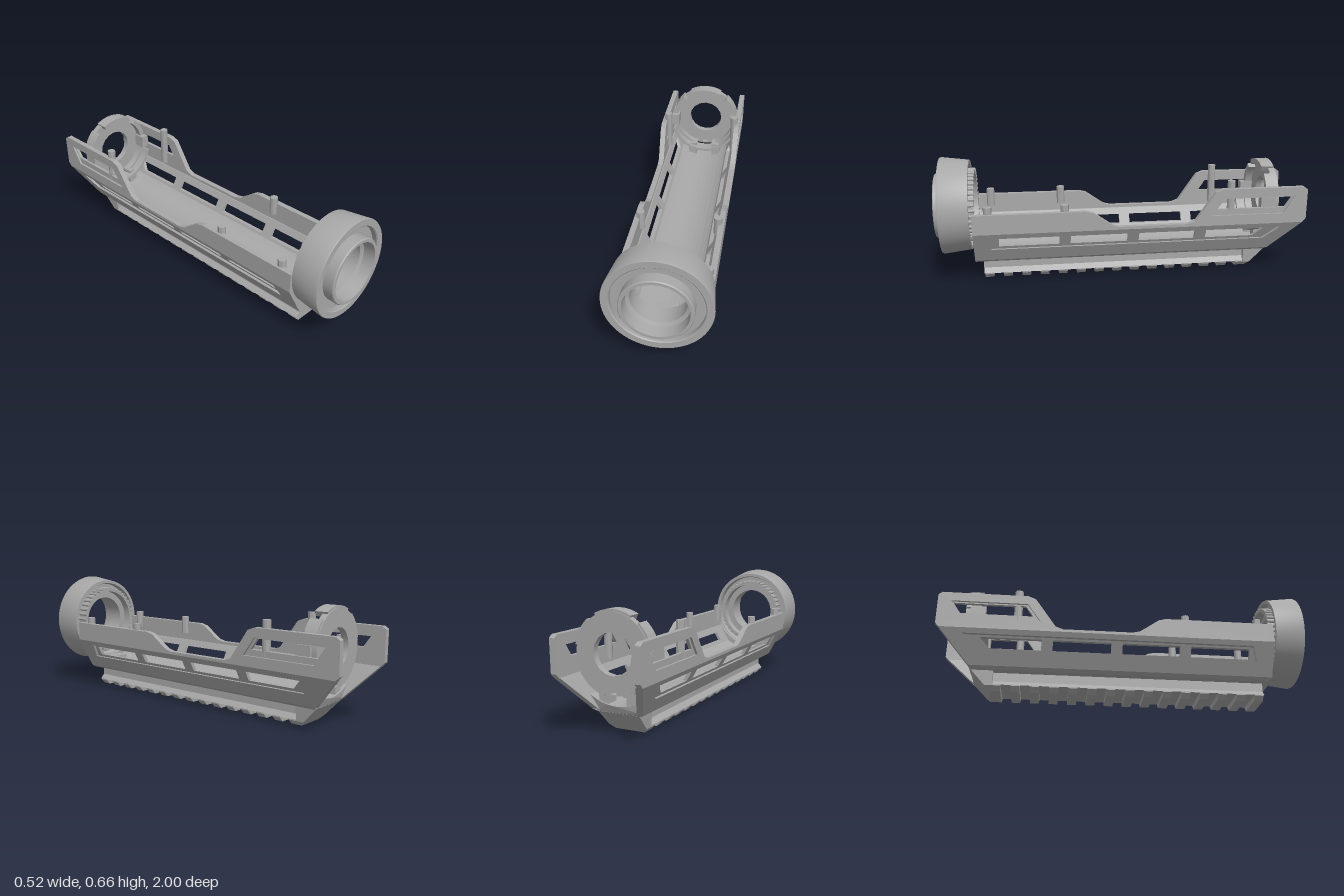
import * as THREE from 'three';
import { toCreasedNormals, mergeGeometries } from 'three/addons/utils/BufferGeometryUtils.js';

const AXIS = 0.395; // height of the bore axis
const cutZ = (y) => -1 + (0.31 - y) * 0.933; // slanted rear end

const toShape = (pts) => new THREE.Shape(pts.map(([a, b]) => new THREE.Vector2(a, b)));

function extrude(shape, depth, z = 0) {
  const g = new THREE.ExtrudeGeometry(shape, { depth, bevelEnabled: false, curveSegments: 32 });
  g.translate(0, 0, z);
  return g;
}

// Moves every vertex by a rule and refreshes the flat normals
function remap(geo, rule) {
  const p = geo.attributes.position;
  for (let i = 0; i < p.count; i++) p.setXYZ(i, ...rule(p.getX(i), p.getY(i), p.getZ(i)));
  geo.computeVertexNormals();
  return geo;
}

// Mirrored copy across x = 0 of an unindexed geometry
function mirrorX(geo) {
  const g = geo.clone();
  const a = g.attributes.position.array;
  for (let i = 0; i < a.length; i += 3) a[i] *= -1;
  for (let t = 0; t < a.length; t += 9) {
    for (let k = 0; k < 3; k++) [a[t + 3 + k], a[t + 6 + k]] = [a[t + 6 + k], a[t + 3 + k]];
  }
  g.computeVertexNormals();
  return g;
}

// Side panel drawn in (z, y), given depth inward from the outer face xOuter(y)
function sidePanel(outline, holes, d0, d1, xOuter) {
  const s = toShape(outline);
  holes.forEach((h) => s.holes.push(toShape(h)));
  return remap(extrude(s, d1 - d0, d0), (z, y, d) => [xOuter(y) - d, y, z]);
}

function ring(profile) {
  const g = new THREE.LatheGeometry(
    [...profile, profile[0]].map(([r, z]) => new THREE.Vector2(r, z)), 64);
  g.rotateX(Math.PI / 2).translate(0, AXIS, 0);
  return toCreasedNormals(g, 0.5);
}

// Part of a flat ring about the bore axis, angles in degrees
function arcBlock(r0, r1, a0, a1, z0, z1) {
  const s = new THREE.Shape();
  const rad = THREE.MathUtils.degToRad;
  s.absarc(0, AXIS, r1, rad(a0), rad(a1), false);
  s.absarc(0, AXIS, r0, rad(a1), rad(a0), true);
  return toCreasedNormals(extrude(s, z1 - z0, z0), 0.5);
}

const box = (x0, x1, y0, y1, z0, z1) => new THREE.BoxGeometry(x1 - x0, y1 - y0, z1 - z0)
  .translate((x0 + x1) / 2, (y0 + y1) / 2, (z0 + z1) / 2);

export function createModel() {
  const model = new THREE.Group();
  const grey = new THREE.MeshStandardMaterial({ color: 0xa8a8a8 });
  grey.name = 'grey';
  const add = (name, geo) => {
    const m = new THREE.Mesh(geo, grey);
    m.name = name;
    model.add(m);
  };
  const addPair = (name, geo) => {
    const g = geo.index ? geo.toNonIndexed() : geo;
    add('left' + name, g);
    add('right' + name, mirrorX(g));
  };

  // Sloping lower walls: one long outer recess, four windows inside it
  const lowX = (y) => 0.14 + 0.55 * (y - 0.12);
  const low = [[0.77, 0.12], [0.8, 0.15], [0.8, 0.29], [cutZ(0.29), 0.29], [cutZ(0.12), 0.12]];
  const recess = [[0.71, 0.19], [0.69, 0.265], [-0.86, 0.265], [-0.78, 0.19]];
  const windows = [[0.67, 0.35], [0.29, -0.02], [-0.08, -0.39]]
    .map(([a, b]) => [[a, 0.205], [a, 0.255], [b, 0.255], [b, 0.205]]);
  windows.push([[-0.45, 0.205], [-0.45, 0.255], [-0.77, 0.255], [-0.72, 0.205]]);
  addPair('LowerWallSkin', sidePanel(low, [recess], 0, 0.016, lowX));
  addPair('LowerWallLiner', sidePanel(low, windows, 0.016, 0.036, lowX));

  // Upright upper walls with the dipped top edge and rear window
  const top = [[0.8, 0.29], [0.8, 0.395], [0.21, 0.395], [0.17, 0.385], [0.07, 0.315], [0.03, 0.305],
    [-0.34, 0.305], [-0.38, 0.32], [-0.49, 0.475], [-0.53, 0.49], [-0.98, 0.49], [-1, 0.475],
    [-1, 0.31], [cutZ(0.29), 0.29]];
  const upX = (y) => 0.2335 + 0.02 * (y - 0.29);
  const rearRecess = [[-0.46, 0.345], [-0.53, 0.442], [-0.93, 0.442], [-0.87, 0.345]];
  const rearWindow = [[-0.5, 0.377], [-0.54, 0.435], [-0.92, 0.435], [-0.88, 0.377]];
  addPair('UpperWallSkin', sidePanel(top, [rearRecess], 0, 0.012, upX));
  addPair('UpperWallLiner', sidePanel(top, [rearWindow], 0.012, 0.03, upX));

  // Floor: flat underneath, hollowed to a shallow trough on top
  const half = [[0.118, 0.105], [0.14, 0.12], [0.16, 0.185]];
  const arc = [];
  for (let i = 0; i <= 12; i++) {
    const x = 0.155 - 0.31 * i / 12;
    arc.push([x, AXIS - Math.sqrt(0.0625 - x * x)]);
  }
  const floorOutline = [...half, ...arc, ...half.map(([x, y]) => [-x, y]).reverse()];
  add('floor', remap(extrude(toShape(floorOutline), 1), (x, y, t) =>
    [x, y, t > 0.5 ? 0.775 : Math.max(cutZ(y), -0.83)]));

  // Front end plate, open in a half circle
  const plate = new THREE.Shape();
  plate.moveTo(-0.118, 0.105);
  [[0.118, 0.105], [0.14, 0.12], [0.2335, 0.29], [0.2356, AXIS], [0.222, AXIS]]
    .forEach(([x, y]) => plate.lineTo(x, y));
  plate.absarc(0, AXIS, 0.222, 0, -Math.PI, true);
  [[-0.2356, AXIS], [-0.2335, 0.29], [-0.14, 0.12]].forEach(([x, y]) => plate.lineTo(x, y));
  add('frontEndPlate', extrude(plate, 0.025, 0.776));
  add('frontFloorBlock', box(-0.06, 0.06, 0.13, 0.17, 0.7, 0.776));

  // Locating pegs on the wall tops
  for (const [z, y0, y1] of [[0.72, 0.33, 0.43], [0.32, 0.33, 0.43], [-0.58, 0.31, 0.53]]) {
    addPair('Peg', new THREE.CylinderGeometry(0.022, 0.022, y1 - y0, 8)
      .translate(0.203, (y0 + y1) / 2, z));
  }

  // Front ring: tapered rim, recessed web with notch, stepped collar
  add('frontRingRim', ring([[0.243, 0.815], [0.261, 0.962], [0.258, 0.97], [0.225, 0.97],
    [0.22, 0.965], [0.22, 0.83], [0.225, 0.815]]));
  const web = new THREE.Shape();
  web.absarc(0, AXIS, 0.223, 0, Math.PI * 2, false);
  const bore = new THREE.Path();
  bore.absarc(0, AXIS, 0.15, 0, Math.PI * 2, true);
  web.holes.push(bore, toShape([[-0.02, 0.176], [-0.02, 0.222], [0.02, 0.222], [0.02, 0.176]]));
  add('frontRingWeb', toCreasedNormals(extrude(web, 0.09, 0.85), 0.5));
  add('frontRingCollar', ring([[0.17, 0.835], [0.174, 0.995], [0.17, 1], [0.155, 1],
    [0.15, 0.94], [0.133, 0.93], [0.133, 0.835]]));
  for (const x of [-0.04, 0.04]) {
    add('ringScrew', new THREE.CylinderGeometry(0.01, 0.01, 0.008, 16)
      .rotateX(Math.PI / 2).translate(x, 0.203, 0.944));
  }

  // Detent teeth behind the ring
  add('detentSleeve', ring([[0.188, 0.79], [0.188, 0.855], [0.173, 0.855], [0.173, 0.79]]));
  const teeth = [];
  for (let i = 0; i < 40; i++) {
    const a = (i + 0.5) / 40 * Math.PI * 2;
    if (Math.abs(Math.cos(a)) < 0.1 && Math.sin(a) < 0) continue;
    teeth.push(new THREE.CylinderGeometry(0.009, 0.009, 0.068, 6).rotateX(Math.PI / 2)
      .translate(0.19 * Math.cos(a), AXIS + 0.19 * Math.sin(a), 0.821));
  }
  add('detentTeeth', mergeGeometries(teeth));

  // Rear disc with faceted bore, lower slot and broken rim
  const disc = new THREE.Shape();
  disc.absarc(0, AXIS, 0.195, 0, Math.PI * 2, false);
  const hole = [];
  for (let i = 0; i < 16; i++) {
    const a = -i / 16 * Math.PI * 2;
    hole.push([0.102 * Math.cos(a), AXIS + 0.102 * Math.sin(a)]);
  }
  disc.holes.push(toShape(hole), toShape([[-0.018, 0.207], [-0.018, 0.222], [0.018, 0.222], [0.018, 0.207]]));
  add('rearDisc', toCreasedNormals(extrude(disc, 0.035, -0.855), 0.5));
  for (const [a, b] of [[62, 118], [8, 48], [132, 172], [192, 255], [285, 348]]) {
    add('rearDiscRim', arcBlock(0.178, 0.206, a, b, -0.85, -0.78));
  }
  add('rearCradle', arcBlock(0.19, 0.206, 195, 345, -0.8, -0.73));
  addPair('RearCradleFoot', box(0.05, 0.1, 0.14, 0.23, -0.82, -0.75));
  addPair('RearBracket', box(0.165, 0.21, 0.36, 0.43, -0.83, -0.75));

  // Accessory rail: neck, dovetail strip, cross teeth and slanted rear block
  add('railNeck', box(-0.082, 0.082, 0.03, 0.108, -0.73, 0.76));
  const symmetric = (pts) => toShape([...pts, ...pts.map(([x, y]) => [-x, y]).reverse()]);
  add('railDovetail', extrude(symmetric([[0.105, 0.03], [0.082, 0.056]]), 1.46, -0.7));
  const tooth = symmetric([[0.08, 0], [0.105, 0.025], [0.105, 0.032]]);
  for (let i = 0; i < 15; i++) add('railTooth', extrude(tooth, 0.048, 0.707 - i * 0.1005));
  const block = symmetric([[0.08, 0], [0.105, 0.025], [0.113, 0.108]]);
  add('railRearBlock', remap(extrude(block, 1), (x, y, t) =>
    [x, y, t > 0.5 ? -0.695 : cutZ(y) - 0.002]));

  return model;
}
